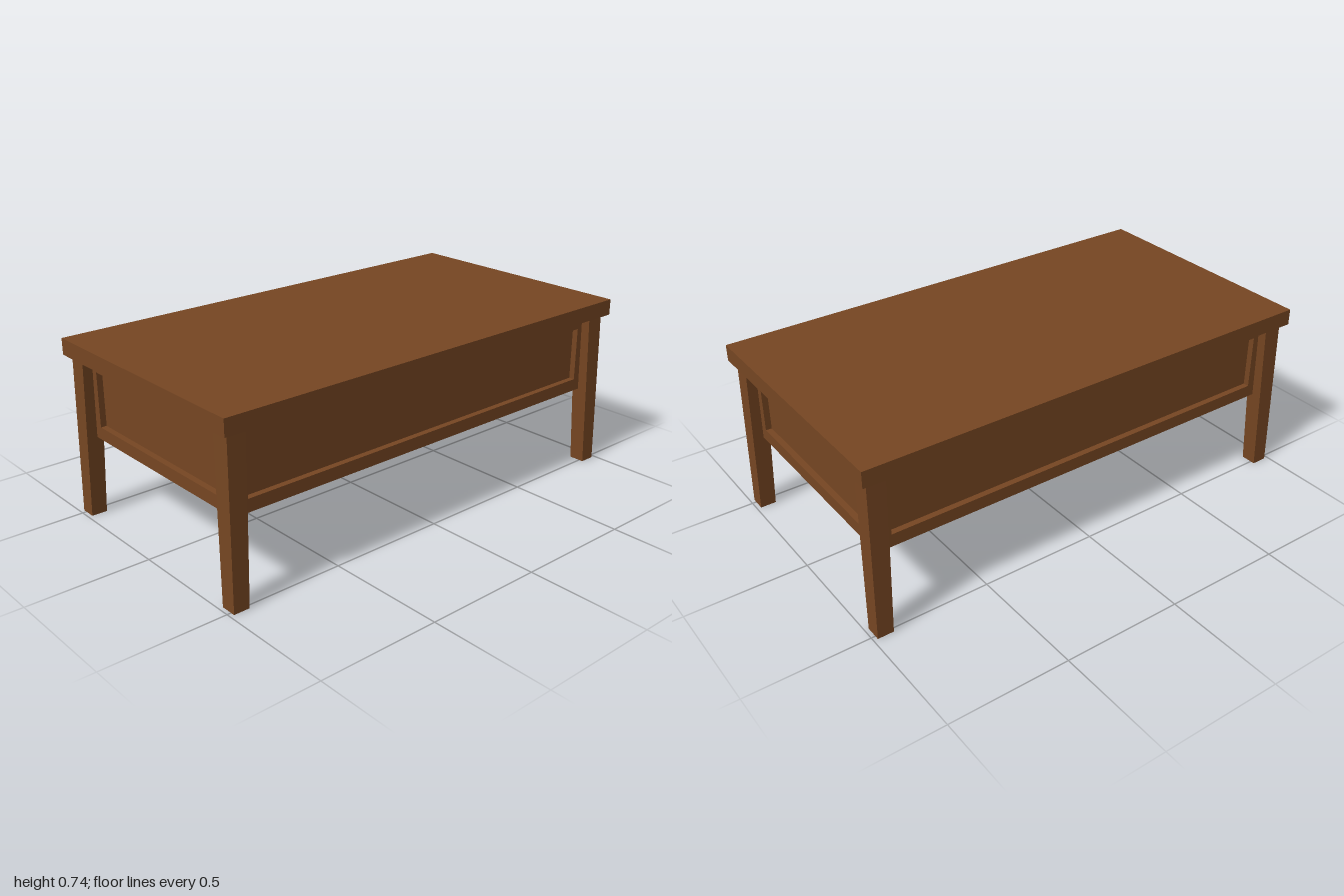
import * as THREE from 'three';

const TOP_Y = 0.668, BASE_Y = 0.335, BODY_X = 0.935, BODY_Z = 0.47, RECESS = 0.025;

export function createModel() {
  const model = new THREE.Group();
  model.name = 'coffeeTable';
  const wood = new THREE.MeshStandardMaterial({ color: 0x764622 });
  wood.name = 'brown wood';

  const add = (name, geometry, x = 0, y = 0, z = 0, turn = 0) => {
    const mesh = new THREE.Mesh(geometry, wood);
    mesh.name = name;
    mesh.position.set(x, y, z);
    mesh.rotation.y = turn;
    model.add(mesh);
    return mesh;
  };

  // Table top slab
  add('tableTop', new THREE.BoxGeometry(2, 0.735 - TOP_Y, 1.066), 0, (0.735 + TOP_Y) / 2, 0);

  // Solid core whose faces are the recessed panels
  add('bodyCore', new THREE.BoxGeometry(2 * (BODY_X - RECESS), TOP_Y - BASE_Y, 2 * (BODY_Z - RECESS)),
    0, (TOP_Y + BASE_Y) / 2, 0);

  // Raised frame with a rectangular opening, around each panel
  const rect = (path, half, y0, y1) => path.moveTo(-half, y0).lineTo(half, y0)
    .lineTo(half, y1).lineTo(-half, y1).closePath();
  const frame = (half, opening) => {
    const shape = rect(new THREE.Shape(), half, BASE_Y, TOP_Y);
    shape.holes.push(rect(new THREE.Path(), opening, 0.387, 0.615));
    return new THREE.ExtrudeGeometry(shape, { depth: RECESS, bevelEnabled: false });
  };
  const longFrame = frame(BODY_X, 0.873);
  const shortFrame = frame(BODY_Z - RECESS, 0.405);
  add('frontFrame', longFrame, 0, 0, BODY_Z - RECESS);
  add('backFrame', longFrame, 0, 0, RECESS - BODY_Z, Math.PI);
  add('leftFrame', shortFrame, BODY_X - RECESS, 0, 0, Math.PI / 2);
  add('rightFrame', shortFrame, RECESS - BODY_X, 0, 0, -Math.PI / 2);

  // Slightly splayed legs, tapering towards the floor
  for (const sx of [1, -1]) for (const sz of [1, -1]) {
    const leg = new THREE.BoxGeometry(1, TOP_Y, 1);
    const p = leg.attributes.position;
    for (let i = 0; i < p.count; i++) {
      const top = p.getY(i) > 0;
      const width = top ? 0.078 : 0.066;
      p.setX(i, p.getX(i) * width + sx * (top ? 0.936 : 0.95));
      p.setZ(i, p.getZ(i) * width + sz * (top ? 0.469 : 0.485));
    }
    leg.computeVertexNormals();
    add((sz > 0 ? 'front' : 'back') + (sx > 0 ? 'Left' : 'Right') + 'Leg', leg, 0, TOP_Y / 2, 0);
  }
  return model;
}
